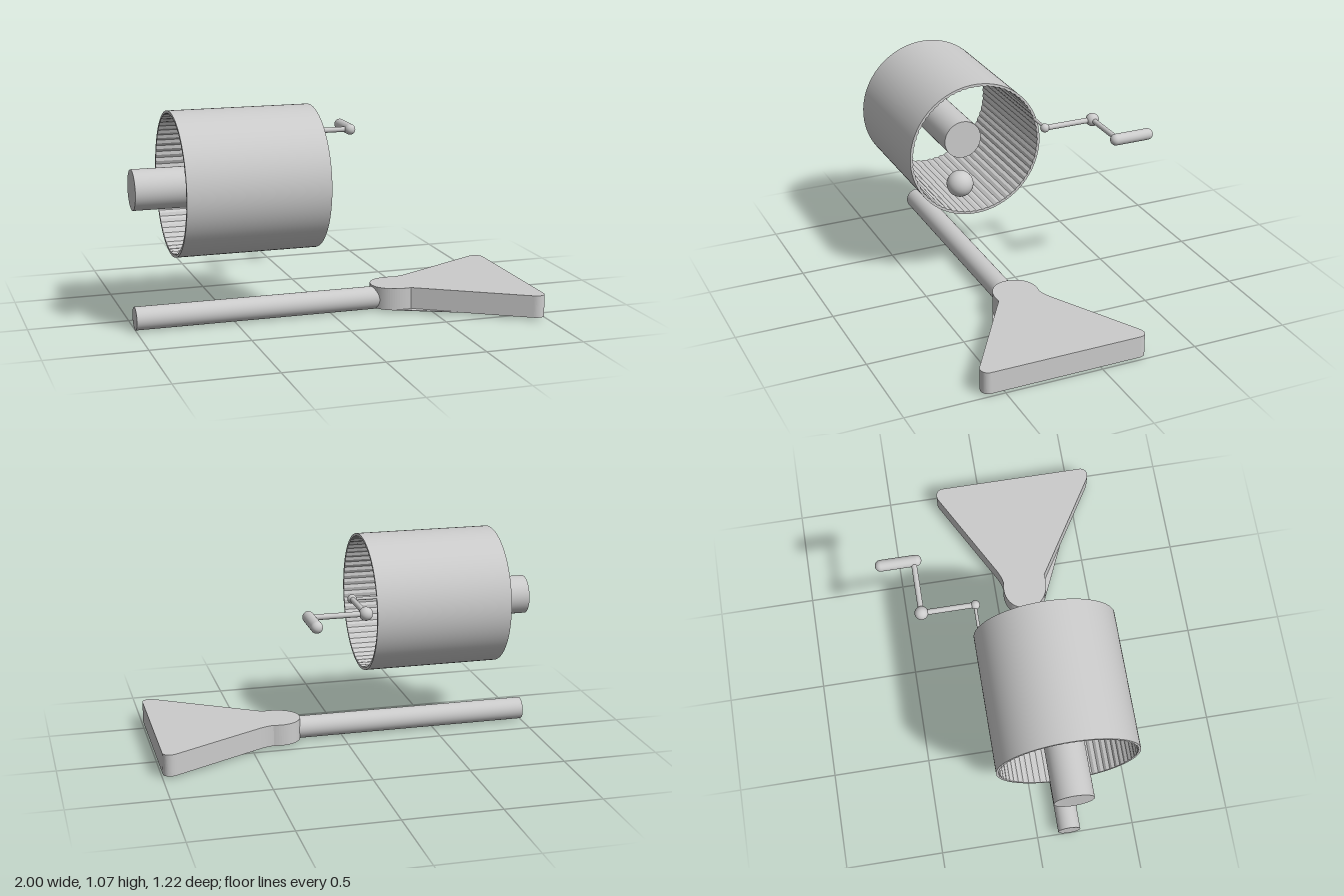
import * as THREE from 'three';

const material = new THREE.MeshStandardMaterial({ color: 0xcccccc });
const thinMaterial = new THREE.MeshStandardMaterial({ color: 0xcccccc, side: THREE.DoubleSide });

export function createModel() {
  const model = new THREE.Group();

  function add(name, geometry, x = 0, y = 0, z = 0, mat = material) {
    const mesh = new THREE.Mesh(geometry, mat);
    mesh.name = name;
    mesh.position.set(x, y, z);
    model.add(mesh);
    return mesh;
  }

  // Solid round bar along x
  function barX(name, x0, x1, r, y, z) {
    add(name, new THREE.CylinderGeometry(r, r, x1 - x0, 48).rotateZ(Math.PI / 2), (x0 + x1) / 2, y, z);
  }

  // Round bar along z
  function barZ(name, z0, z1, r, x, y) {
    add(name, new THREE.CylinderGeometry(r, r, z1 - z0, 32).rotateX(Math.PI / 2), x, y, (z0 + z1) / 2);
  }

  function ball(name, r, x, y, z) {
    add(name, new THREE.SphereGeometry(r, 32, 20), x, y, z);
  }

  // Open drum: finely ribbed bore inside a smooth wall
  const x0 = -0.81, x1 = -0.105, drumY = 0.718, drumZ = 0.17;
  const ring = new THREE.Shape().absarc(0, 0, 0.35, 0, Math.PI * 2);
  const bore = [];
  const ribs = 64;
  for (let i = 0; i < ribs * 2; i++) {
    const a = (i / (ribs * 2)) * Math.PI * 2;
    const r = i % 2 ? 0.339 : 0.344;
    bore.push(new THREE.Vector2(Math.cos(a) * r, Math.sin(a) * r));
  }
  ring.holes.push(new THREE.Path(bore));
  const core = new THREE.ExtrudeGeometry(ring, { depth: x1 - x0, bevelEnabled: false, curveSegments: 48 });
  add('drumLining', core.rotateY(Math.PI / 2), x0, drumY, drumZ);
  const wall = new THREE.LatheGeometry(
    [[0.348, x0], [0.355, x0], [0.355, x0], [0.355, x1], [0.355, x1], [0.348, x1]].map((p) => new THREE.Vector2(...p)), 96);
  add('drumWall', wall.rotateZ(-Math.PI / 2), 0, drumY, drumZ, thinMaterial);

  // Shaft and the ball inside the drum
  barX('shaft', -1, -0.29, 0.1, 0.7, 0.165);
  ball('innerBall', 0.07, -0.285, 0.458, 0.187);

  // Crank
  const crankY = 0.83;
  barX('crankPin', x1 - 0.01, 0.02, 0.008, crankY, -0.157);
  ball('crankInnerJoint', 0.023, 0.02, crankY, -0.155);
  barZ('crankArm', -0.42, -0.155, 0.014, 0.02, crankY);
  ball('crankOuterJoint', 0.034, 0.02, crankY, -0.423);
  barX('crankRod', 0.02, 0.3, 0.014, crankY, -0.423);
  const grip = new THREE.CapsuleGeometry(0.029, 0.175, 12, 32).rotateX(Math.PI / 2);
  add('crankGrip', grip, 0.3, crankY, -0.5);

  // Long handle of the scoop
  barX('scoopHandle', -1, 0.26, 0.058, 0.059, 0.165);

  // Plates drawn in x and z, thickened downwards
  function plate(name, shape, top, depth) {
    const g = new THREE.ExtrudeGeometry(shape, { depth, bevelEnabled: false, curveSegments: 20 });
    add(name, g.rotateX(Math.PI / 2), 0, top, 0);
  }

  // Scoop blade: round neck flaring into a rounded triangle
  const blade = new THREE.Shape();
  blade.moveTo(0.4, 0.27);
  blade.lineTo(0.925, 0.597);
  blade.bezierCurveTo(0.96, 0.62, 0.995, 0.6, 0.995, 0.57);
  blade.lineTo(0.995, -0.2);
  blade.bezierCurveTo(0.995, -0.235, 0.96, -0.252, 0.925, -0.231);
  blade.lineTo(0.46, 0.02);
  blade.quadraticCurveTo(0.42, 0.04, 0.385, 0.044);
  blade.bezierCurveTo(0.29, 0.02, 0.225, 0.08, 0.225, 0.155);
  blade.bezierCurveTo(0.225, 0.225, 0.29, 0.285, 0.4, 0.27);
  plate('scoopBlade', blade, 0.125, 0.113);

  // Thin web under the blade at the neck
  const web = new THREE.Shape([[0.3, 0.26], [0.605, 0.398], [0.39, 0.26]].map((p) => new THREE.Vector2(...p)));
  plate('scoopWeb', web, 0.015, 0.004);

  return model;
}
